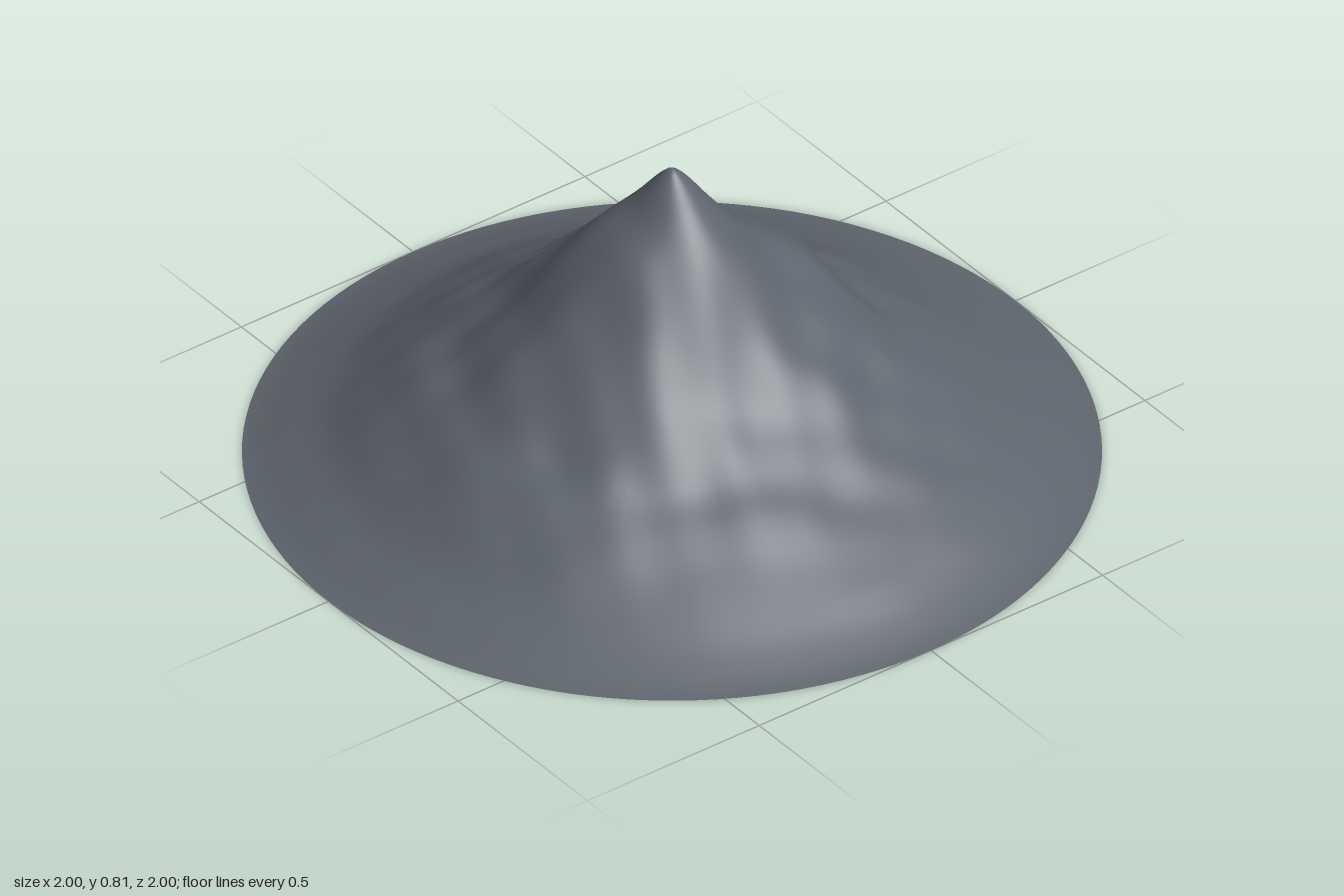
import * as THREE from 'three';

// Heights at radius 0, 0.1 ... 1 along the four main ridges (+x, +z, -x, -z)
const ridges = [
  [0.81, 0.695, 0.565, 0.49, 0.405, 0.285, 0.215, 0.145, 0.08, 0.03, 0],
  [0.81, 0.7, 0.585, 0.45, 0.345, 0.26, 0.2, 0.145, 0.09, 0.035, 0],
  [0.81, 0.7, 0.625, 0.5, 0.39, 0.3, 0.235, 0.155, 0.08, 0.035, 0],
  [0.81, 0.705, 0.585, 0.48, 0.395, 0.305, 0.225, 0.155, 0.085, 0.035, 0],
].map((h) => new THREE.SplineCurve(h.map((y, i) => new THREE.Vector2(i / 10, y))));

// Blend neighbouring ridges and add small crags that fade at peak and foot
function heightAt(r, a) {
  const q = (a / (Math.PI * 2)) * 4;
  const i = Math.floor(q) % 4;
  const f = q - Math.floor(q);
  const s = f * f * (3 - 2 * f);
  const y = THREE.MathUtils.lerp(ridges[i].getPoint(r).y, ridges[(i + 1) % 4].getPoint(r).y, s);
  const x = r * Math.cos(a), z = r * Math.sin(a);
  const crag = Math.sin(13 * x + 4 * z + 1) * Math.sin(12 * z - 5 * x)
    + 0.5 * Math.sin(27 * x - 9 * z) * Math.sin(25 * z + 11 * x + 2);
  const fade = Math.min(1, r * 5) * Math.min(1, (1 - r) * 2) ** 2;
  return Math.max(0, y + 0.013 * crag * fade);
}

// Open shell made of concentric rings around the peak
function mountainGeometry(rings, sides) {
  const position = [0, 0.81, 0];
  const index = [];
  for (let i = 1; i <= rings; i++) {
    const r = i / rings;
    for (let j = 0; j < sides; j++) {
      const a = (j / sides) * Math.PI * 2;
      position.push(r * Math.cos(a), heightAt(r, a), r * Math.sin(a));
    }
  }
  const at = (i, j) => (i === 0 ? 0 : 1 + (i - 1) * sides + (j % sides));
  for (let i = 0; i < rings; i++) {
    for (let j = 0; j < sides; j++) {
      if (i > 0) index.push(at(i, j), at(i, j + 1), at(i + 1, j));
      index.push(at(i, j + 1), at(i + 1, j + 1), at(i + 1, j));
    }
  }
  const geometry = new THREE.BufferGeometry();
  geometry.setAttribute('position', new THREE.Float32BufferAttribute(position, 3));
  geometry.setIndex(index);
  geometry.computeVertexNormals();
  return geometry;
}

export function createModel() {
  const rock = new THREE.MeshStandardMaterial({ color: 0x5e646d, side: THREE.DoubleSide });
  rock.name = 'slate rock';

  const mountain = new THREE.Mesh(mountainGeometry(60, 128), rock);
  mountain.name = 'mountain';

  const model = new THREE.Group();
  model.name = 'mountainPeak';
  model.add(mountain);
  return model;
}
